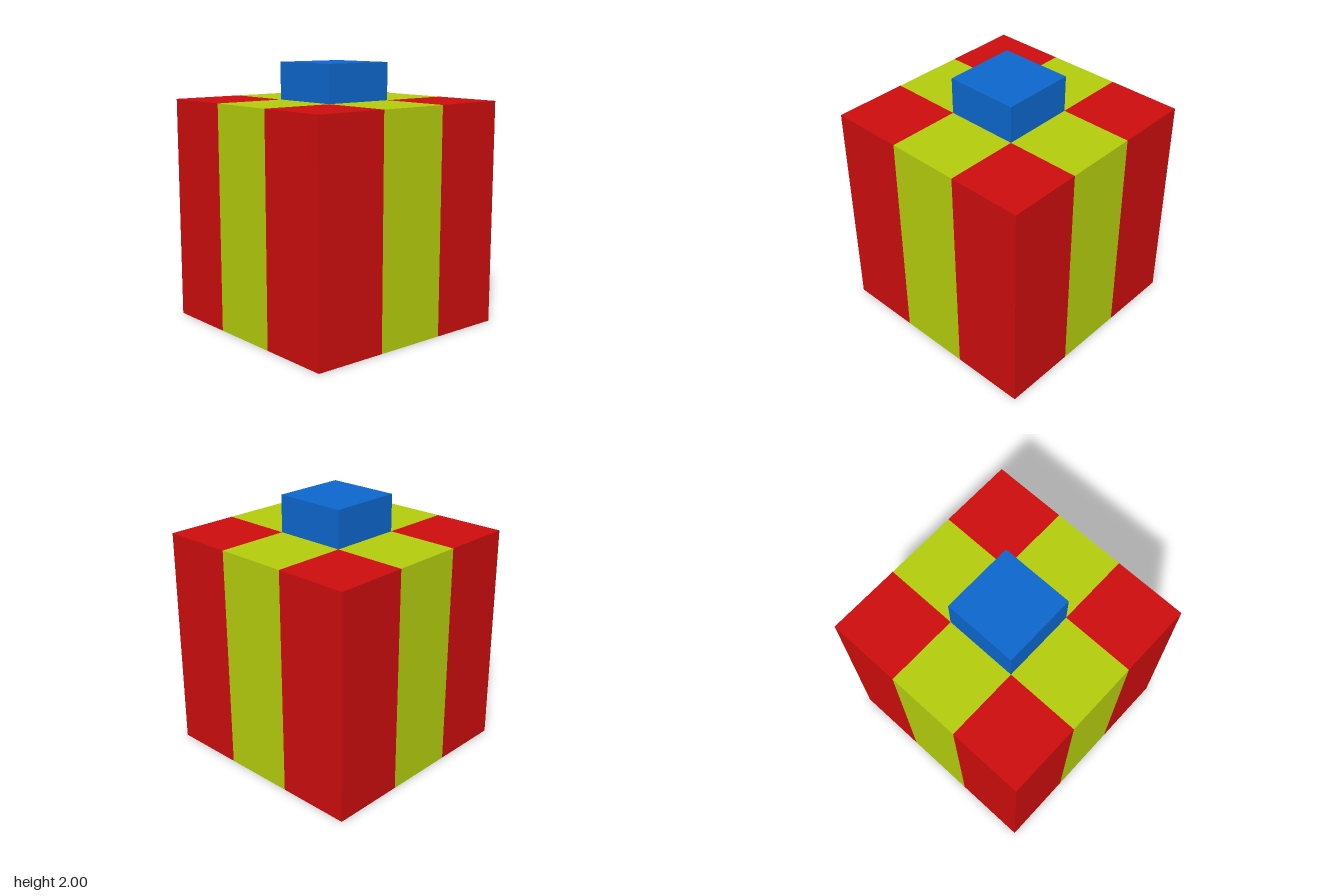
import * as THREE from 'three';

const UNIT = 2 / 7;          // knob height; the body is six units wide
const SIZE = UNIT * 6;

function material(name, color) {
  const m = new THREE.MeshStandardMaterial({ color });
  m.name = name;
  return m;
}

export function createModel() {
  const red = material('red', 0xcc0d0d);
  const lime = material('lime', 0xb3cc0d);
  const blue = material('blue', 0x0d66cc);
  const model = new THREE.Group();
  model.name = 'giftBox';

  // Wrapped body: each face is cut in thirds, with the middle bands as ribbon
  const geometry = new THREE.BoxGeometry(SIZE, SIZE, SIZE, 3, 1, 3);
  geometry.clearGroups();
  // Cell rows per face, in the order +x, -x, +y, -y, +z, -z
  let start = 0;
  for (const rows of [1, 1, 3, 3, 1, 1]) {
    for (let row = 0; row < rows; row++) {
      for (let col = 0; col < 3; col++) {
        const ribbon = col === 1 || (rows === 3 && row === 1);
        geometry.addGroup(start, 6, ribbon ? 1 : 0);
        start += 6;
      }
    }
  }
  const body = new THREE.Mesh(geometry, [red, lime]);
  body.name = 'wrappedBody';
  body.position.y = SIZE / 2;
  model.add(body);

  // Square knob on the lid
  const knob = new THREE.Mesh(new THREE.BoxGeometry(UNIT * 2, UNIT, UNIT * 2), blue);
  knob.name = 'topKnob';
  knob.position.y = SIZE + UNIT / 2;
  model.add(knob);

  return model;
}
